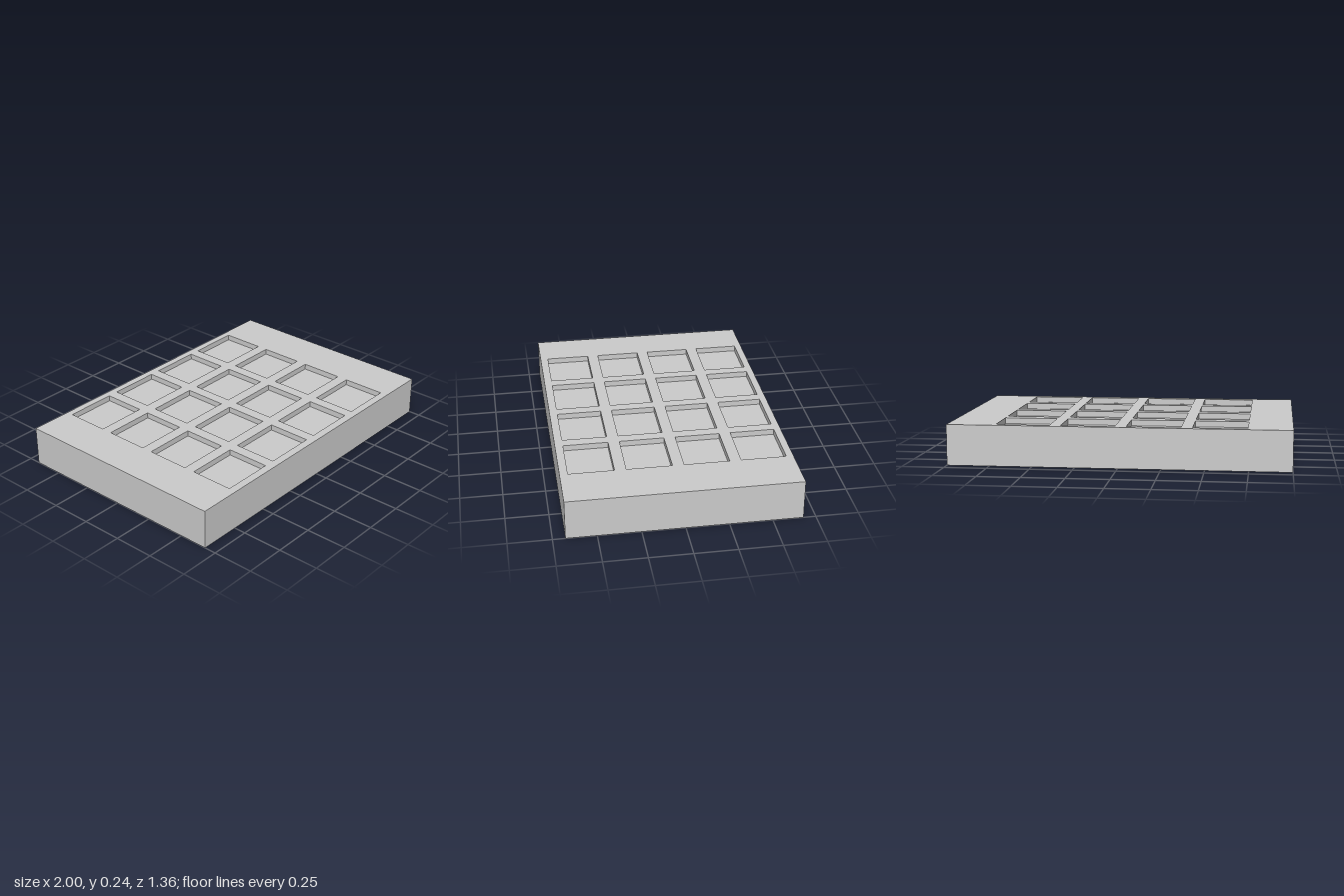
import * as THREE from 'three';

const W = 2, H = 0.24, D = 1.356;          // block size
const PW = 0.315, PD = 0.266, DEPTH = 0.035; // pocket size
const X0 = -0.585, Z0 = -0.503, DX = 0.381, DZ = 0.3335; // first pocket centre and pitch

// Box without its top face; inward = true turns the walls to face inside
function openBox(w, h, d, inward = false) {
  const geo = new THREE.BoxGeometry(w, h, d);
  const index = Array.from(geo.index.array);
  index.splice(12, 6);
  if (inward) {
    index.reverse();
    const n = geo.attributes.normal;
    for (let i = 0; i < n.count; i++) n.setXYZ(i, -n.getX(i), -n.getY(i), -n.getZ(i));
  }
  geo.clearGroups();
  geo.setIndex(index);
  return geo;
}

// Rectangle outline around a centre
function rectangle(target, cx, cy, w, h) {
  target.moveTo(cx - w / 2, cy - h / 2);
  target.lineTo(cx + w / 2, cy - h / 2);
  target.lineTo(cx + w / 2, cy + h / 2);
  target.lineTo(cx - w / 2, cy + h / 2);
  target.closePath();
  return target;
}

export function createModel() {
  const group = new THREE.Group();
  group.name = 'pocketedBlock';
  const material = new THREE.MeshStandardMaterial({ color: 0xcccccc });
  const add = (name, geo, x, y, z) => {
    const mesh = new THREE.Mesh(geo, material);
    mesh.name = name;
    mesh.position.set(x, y, z);
    group.add(mesh);
    return mesh;
  };

  // Sides and underside
  add('blockBody', openBox(W, H, D), 0, H / 2, 0);

  // Four by four grid of shallow pockets, each opening through the top face
  const top = rectangle(new THREE.Shape(), 0, 0, W, D);
  const pocket = openBox(PW, DEPTH, PD, true);
  for (let row = 0; row < 4; row++) {
    for (let col = 0; col < 4; col++) {
      const x = X0 + col * DX, z = Z0 + row * DZ;
      top.holes.push(rectangle(new THREE.Path(), x, -z, PW, PD));
      add('pocket', pocket, x, H - DEPTH / 2, z);
    }
  }

  // Top face with the pocket openings
  add('topFace', new THREE.ShapeGeometry(top).rotateX(-Math.PI / 2), 0, H, 0);

  return group;
}
